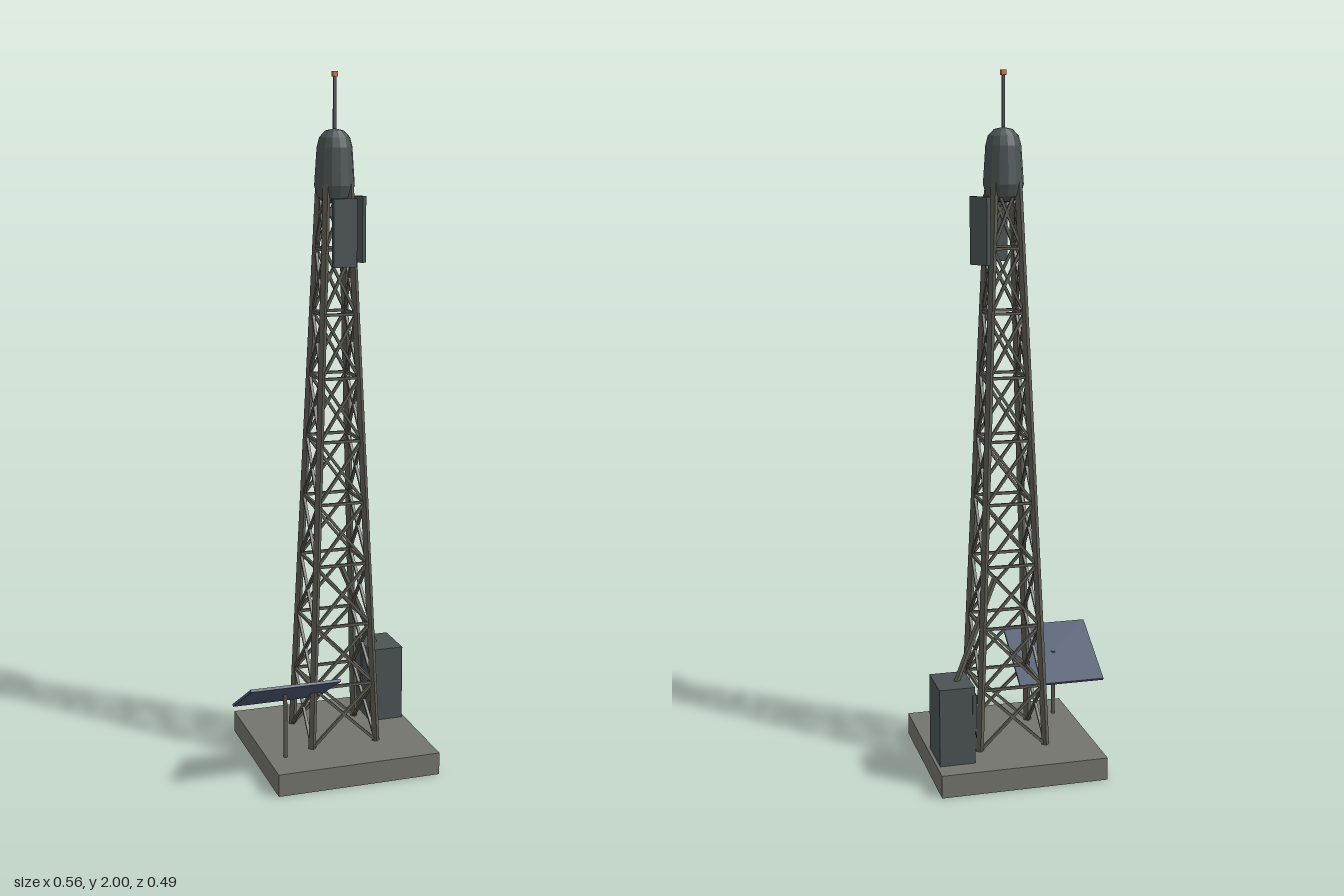
import * as THREE from 'three';

const mat = (name, color) => {
  const m = new THREE.MeshStandardMaterial({ color });
  m.name = name;
  return m;
};

export function createModel() {
  const concrete = mat('concrete', 0x73746c);
  const steel = mat('steel', 0x5e5d54);
  const casing = mat('casing', 0x4b5355);
  const solar = mat('solarBlue', 0x4a556e);
  const beaconMat = mat('beaconOrange', 0xd0764a);

  const root = new THREE.Group();
  root.name = 'radioMast';
  const CX = 0.037;

  const add = (name, geo, material, x, y, z, parent = root) => {
    const m = new THREE.Mesh(geo, material);
    m.name = name;
    m.position.set(x, y, z);
    parent.add(m);
    return m;
  };
  const box = (name, w, h, d, material, x, y, z, parent) =>
    add(name, new THREE.BoxGeometry(w, h, d), material, x, y, z, parent);

  // Square bar between two points
  const beam = (name, a, b, t, parent) => {
    const mid = a.clone().add(b).multiplyScalar(0.5);
    const m = box(name, t, t, a.distanceTo(b), steel, mid.x, mid.y, mid.z, parent);
    m.lookAt(b);
    return m;
  };

  // Foundation slab
  box('foundation', 0.487, 0.066, 0.487, concrete, CX, 0.033, 0);

  // Tapered lattice tower
  const tower = new THREE.Group();
  tower.name = 'latticeTower';
  root.add(tower);
  const LEVELS = 9, Y0 = 0.066, STEP = 0.181;
  const node = (corner, level) => {
    const r = THREE.MathUtils.lerp(0.099, 0.034, level / LEVELS);
    const [sx, sz] = [[1, 1], [1, -1], [-1, -1], [-1, 1]][corner % 4];
    return new THREE.Vector3(CX + sx * r, Y0 + STEP * level, sz * r);
  };
  for (let c = 0; c < 4; c++) {
    beam('towerLeg', node(c, 0), node(c, LEVELS), 0.016, tower);
    for (let l = 0; l < LEVELS; l++) {
      beam('crossBrace', node(c, l), node(c + 1, l + 1), 0.008, tower);
      beam('crossBrace', node(c + 1, l), node(c, l + 1), 0.008, tower);
      beam('ringBrace', node(c, l + 1), node(c + 1, l + 1), 0.008, tower);
    }
  }

  // Radome on top
  const profile = [[0, 1.638], [0.03, 1.643], [0.048, 1.658], [0.057, 1.69], [0.05, 1.795],
    [0.043, 1.822], [0.026, 1.84], [0, 1.846]].map(p => new THREE.Vector2(...p));
  const dome = new THREE.LatheGeometry(profile, 14).toNonIndexed();
  dome.computeVertexNormals();
  add('radome', dome, casing, CX, 0, 0);

  // Whip mast and beacon
  box('whipMast', 0.008, 0.15, 0.008, casing, CX, 1.915, 0);
  box('beacon', 0.014, 0.014, 0.014, beaconMat, CX, 1.993, 0);

  // Sector antennas around the mast head
  for (const angle of [0, Math.PI * 2 / 3]) {
    const r = 0.09;
    const p = box('sectorAntenna', 0.068, 0.188, 0.015, casing,
      CX + Math.sin(angle) * r, 1.564, Math.cos(angle) * r);
    p.rotation.y = angle;
  }

  // Equipment cabinet with side hatch
  box('cabinet', 0.103, 0.228, 0.138, casing, 0.22, 0.179, -0.11);
  box('cabinetHatch', 0.012, 0.1, 0.066, casing, 0.17, 0.22, -0.148);

  // Cable conduit from tower to cabinet
  beam('conduit', new THREE.Vector3(0.072, 0.57, -0.036), new THREE.Vector3(0.21, 0.285, -0.115), 0.012);

  // Tilted solar panel on a post
  const panel = box('solarPanel', 0.262, 0.008, 0.238, solar, -0.151, 0.261, 0.131);
  panel.rotation.x = -Math.atan2(0.121, 0.203);
  add('panelPost', new THREE.CylinderGeometry(0.006, 0.006, 0.202, 8), steel, -0.153, 0.166, 0.131);

  return root;
}
